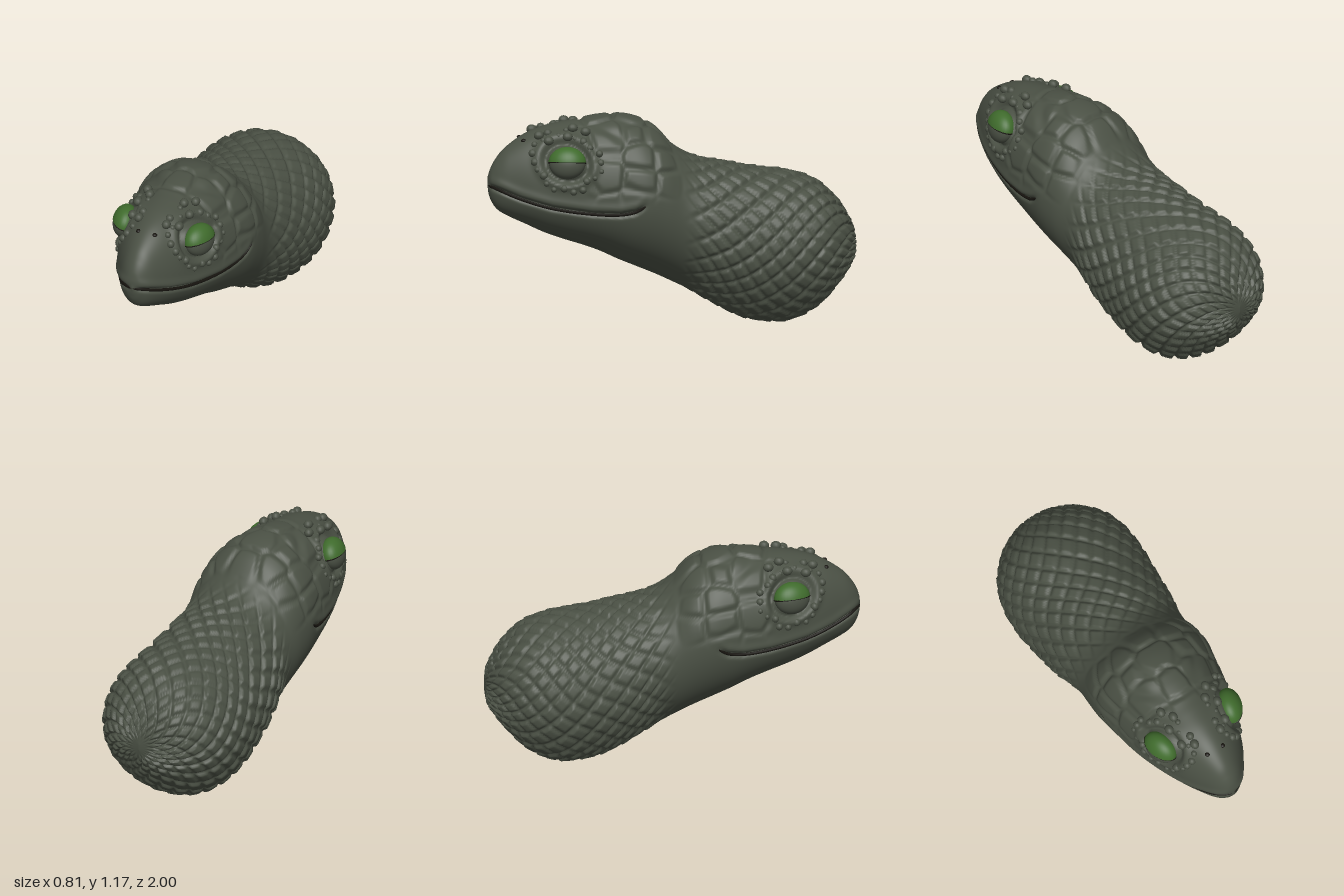
import * as THREE from 'three';

// Cross-sections from tail end to snout: z, top y, bottom y, half width, height of widest point
const SECTIONS = [
  [-1, 0.43, 0.40, 0, 0.415], [-0.985, 0.5, 0.335, 0.1, 0.415], [-0.95, 0.57, 0.28, 0.18, 0.41],
  [-0.9, 0.65, 0.215, 0.255, 0.41], [-0.8, 0.745, 0.105, 0.34, 0.41], [-0.7, 0.79, 0.04, 0.38, 0.41],
  [-0.6, 0.815, 0.01, 0.395, 0.41], [-0.5, 0.83, 0.015, 0.395, 0.42], [-0.4, 0.85, 0.035, 0.385, 0.44],
  [-0.3, 0.875, 0.08, 0.375, 0.47], [-0.2, 0.895, 0.14, 0.365, 0.51], [-0.1, 0.93, 0.2, 0.345, 0.56],
  [0, 1.0, 0.25, 0.335, 0.62], [0.1, 1.1, 0.3, 0.343, 0.68], [0.2, 1.15, 0.345, 0.345, 0.72],
  [0.3, 1.168, 0.39, 0.33, 0.73], [0.4, 1.165, 0.44, 0.312, 0.74], [0.5, 1.15, 0.48, 0.29, 0.755],
  [0.6, 1.14, 0.515, 0.26, 0.77], [0.7, 1.122, 0.555, 0.222, 0.78], [0.8, 1.085, 0.605, 0.178, 0.79],
  [0.9, 1.02, 0.655, 0.12, 0.8], [0.95, 0.965, 0.69, 0.085, 0.81], [0.98, 0.915, 0.735, 0.052, 0.82],
  [0.993, 0.87, 0.775, 0.028, 0.82], [1, 0.825, 0.815, 0, 0.82],
];
const MOUTH = [[0.22, 0.735], [0.27, 0.705], [0.35, 0.69], [0.5, 0.695], [0.7, 0.722], [0.85, 0.765], [0.95, 0.805], [1, 0.82]];
const EYE = new THREE.Vector3(0.218, 0.968, 0.62);
const ROWS = 280, COLS = 220;

const profile = new THREE.CatmullRomCurve3(SECTIONS.map(s => new THREE.Vector3(s[0], s[1], s[2])), false, 'catmullrom', 0.5);
const widths = new THREE.CatmullRomCurve3(SECTIONS.map(s => new THREE.Vector3(s[3], s[4], 0)), false, 'catmullrom', 0.5);
const smooth = THREE.MathUtils.smoothstep;
const material = color => new THREE.MeshStandardMaterial({ color, roughness: 0.85 });

function sectionAt(t) {
  const p = profile.getPoint(t), q = widths.getPoint(t);
  return { z: p.x, top: p.y, bottom: p.z, w: Math.max(0, q.x), mid: q.y };
}

function sectionAtZ(z) {
  let a = 0, b = 1;
  for (let i = 0; i < 30; i++) {
    const m = (a + b) / 2;
    if (profile.getPoint(m).x < z) a = m; else b = m;
  }
  return sectionAt(a);
}

// Point on the +x side of the skin at a given height and depth
function onSkin(y, z) {
  const s = sectionAtZ(z);
  const h = y > s.mid ? s.top - s.mid : s.mid - s.bottom;
  return new THREE.Vector3(s.w * Math.sqrt(Math.max(0, 1 - ((y - s.mid) / h) ** 2)), y, z);
}

function mouthY(z) {
  for (let i = 1; i < MOUTH.length; i++) {
    const [z0, y0] = MOUTH[i - 1], [z1, y1] = MOUTH[i];
    if (z <= z1) return y0 + (y1 - y0) * Math.max(0, (z - z0) / (z1 - z0));
  }
  return 0.82;
}

function hash(i, j, k, n) {
  const s = Math.sin(i * 127.1 + j * 311.7 + k * 74.7 + n * 53.3) * 43758.5453;
  return s - Math.floor(s);
}

// Distance to the border of irregular cells, for the head plates
function cellBorder(x, y, z) {
  const ci = Math.floor(x), cj = Math.floor(y), ck = Math.floor(z);
  let f1 = 9, f2 = 9;
  for (let i = ci - 1; i <= ci + 1; i++) for (let j = cj - 1; j <= cj + 1; j++) for (let k = ck - 1; k <= ck + 1; k++) {
    const d = Math.hypot(i + 0.2 + 0.6 * hash(i, j, k, 1) - x, j + 0.2 + 0.6 * hash(i, j, k, 2) - y, k + 0.2 + 0.6 * hash(i, j, k, 3) - z);
    if (d < f1) { f2 = f1; f1 = d; } else if (d < f2) f2 = d;
  }
  return f2 - f1;
}

// Height of the skin relief: body scales, head plates, lips and eye sockets
function relief(x, y, z, angle, length, w) {
  let d = 0;
  const scaly = (1 - smooth(z, -0.17, 0.02)) * smooth(w, 0.03, 0.15);
  if (scaly > 0) {
    const along = -length / 0.125, around = angle * 20 / (2 * Math.PI);
    const bend = 0.2 * Math.sin(angle * 3 + z * 7);
    const p = along + around + bend, q = along - around + bend;
    const fp = p - Math.floor(p), fq = q - Math.floor(q);
    const edge = Math.min(fp, fq, 1 - fp, 1 - fq);
    d += scaly * (0.022 * smooth(edge, 0, 0.22) * (0.45 + 0.3 * (fp + fq)) - 0.01);
  }
  const plates = smooth(z, -0.02, 0.08) * (1 - smooth(z, 0.45, 0.56)) * smooth(y, 0.74, 0.86);
  if (plates > 0) d += plates * (0.016 * smooth(cellBorder(Math.abs(x) / 0.16 + 0.5, y / 0.16, z / 0.16), 0, 0.28) - 0.011);
  if (z > 0.2) {
    const dy = y - mouthY(z), fade = smooth(z, 0.2, 0.28) * smooth(w, 0, 0.08);
    d += fade * (0.007 * Math.exp(-(((dy - 0.035) / 0.025) ** 2)) - 0.024 * Math.exp(-((dy / 0.014) ** 2)));
    const r = Math.hypot((z - EYE.z) / 0.115, (y - EYE.y) / 0.1);
    if (y > 0.8) d += 0.012 * Math.exp(-(((r - 1.25) / 0.2) ** 2)) - 0.022 * Math.exp(-(((r - 0.95) / 0.14) ** 2));
  }
  return d;
}

function skinGeometry() {
  const positions = [], index = [], info = [];
  let length = 0, last = null;
  for (let i = 0; i <= ROWS; i++) {
    const s = sectionAt(i / ROWS);
    if (last) length += Math.hypot(s.z - last.z, s.w - last.w);
    last = s;
    for (let j = 0; j < COLS; j++) {
      const a = j / COLS * Math.PI * 2, sin = Math.sin(a);
      positions.push(s.w * Math.cos(a), s.mid + sin * (sin > 0 ? s.top - s.mid : s.mid - s.bottom), s.z);
      info.push([a, length, s.w]);
      if (i < ROWS) {
        const p = i * COLS + j, q = i * COLS + (j + 1) % COLS;
        index.push(p, q, p + COLS, q, q + COLS, p + COLS);
      }
    }
  }
  const geometry = new THREE.BufferGeometry();
  geometry.setAttribute('position', new THREE.Float32BufferAttribute(positions, 3));
  geometry.setIndex(index);
  geometry.computeVertexNormals();
  const pos = geometry.attributes.position, nor = geometry.attributes.normal;
  const v = new THREE.Vector3(), n = new THREE.Vector3();
  for (let i = 0; i < pos.count; i++) {
    v.fromBufferAttribute(pos, i);
    n.fromBufferAttribute(nor, i);
    v.addScaledVector(n, relief(v.x, v.y, v.z, ...info[i]));
    pos.setXYZ(i, v.x, v.y, v.z);
  }
  geometry.computeVertexNormals();
  return geometry;
}

export function createModel() {
  const model = new THREE.Group();
  const skin = material(0x4a5044), green = material(0x3f6b2c), dark = material(0x17140f);
  const add = (parent, name, geometry, mat) => {
    const mesh = new THREE.Mesh(geometry, mat);
    mesh.name = name;
    parent.add(mesh);
    return mesh;
  };

  add(model, 'headAndBody', skinGeometry(), skin);

  // Mouth line runs round the snout from corner to corner
  const half = MOUTH.slice(0, -1).map(([z, y]) => onSkin(y, z).add(new THREE.Vector3(-0.01, 0, 0)));
  const lip = [...half, new THREE.Vector3(0, 0.82, 0.992), ...half.map(p => p.clone().setX(-p.x)).reverse()];
  add(model, 'mouthLine', new THREE.TubeGeometry(new THREE.CatmullRomCurve3(lip), 120, 0.008, 6), dark);

  const bead = new THREE.SphereGeometry(1, 12, 8);
  for (const side of [1, -1]) {
    // Half-closed eye: green upper lid, skin lower lid and a dark slit
    const eye = new THREE.Group();
    eye.name = side > 0 ? 'leftEye' : 'rightEye';
    eye.position.set(side * EYE.x, EYE.y, EYE.z);
    eye.rotation.set(0, side * -0.3, side * 0.28, 'YXZ');
    add(eye, 'upperLid', new THREE.SphereGeometry(1, 32, 12, 0, Math.PI * 2, 0, Math.PI / 2), green).scale.set(0.066, 0.086, 0.1);
    add(eye, 'lowerLid', new THREE.SphereGeometry(1, 32, 12, 0, Math.PI * 2, Math.PI / 2, Math.PI / 2), skin).scale.set(0.062, 0.086, 0.097);
    const slit = add(eye, 'eyeSlit', new THREE.TorusGeometry(1, 0.045, 6, 48), dark);
    slit.rotation.x = Math.PI / 2;
    slit.scale.set(0.063, 0.098, 0.08);
    model.add(eye);

    // Small round scales ringing the eye
    const beads = new THREE.Group();
    beads.name = side > 0 ? 'leftEyeScales' : 'rightEyeScales';
    for (let i = 0; i < 22; i++) {
      const a = i / 22 * Math.PI * 2, r = 1.22 + 0.35 * hash(i, 2, 3, 4);
      const p = onSkin(EYE.y + Math.sin(a) * 0.1 * r, EYE.z + Math.cos(a) * 0.115 * r);
      if (p.x < 0.05) continue;
      const b = add(beads, 'eyeScale', bead, skin);
      b.position.set(side * p.x, p.y, p.z);
      b.scale.setScalar(0.014 + 0.009 * hash(i, 5, 1, 2));
    }
    // Brow knobs on the crown
    for (const [x, y, z] of [[0.14, 1.115, 0.5], [0.15, 1.095, 0.6], [0.1, 1.13, 0.56], [0.135, 1.075, 0.7], [0.08, 1.095, 0.74]]) {
      const b = add(beads, 'browKnob', bead, skin);
      b.position.set(side * x, y, z);
      b.scale.set(0.024, 0.024, 0.028);
    }
    model.add(beads);

    // Nostril
    const nostril = add(model, side > 0 ? 'leftNostril' : 'rightNostril', bead, dark);
    nostril.position.set(side * 0.047, 1.063, 0.815);
    nostril.scale.set(0.014, 0.01, 0.014);
  }
  return model;
}
